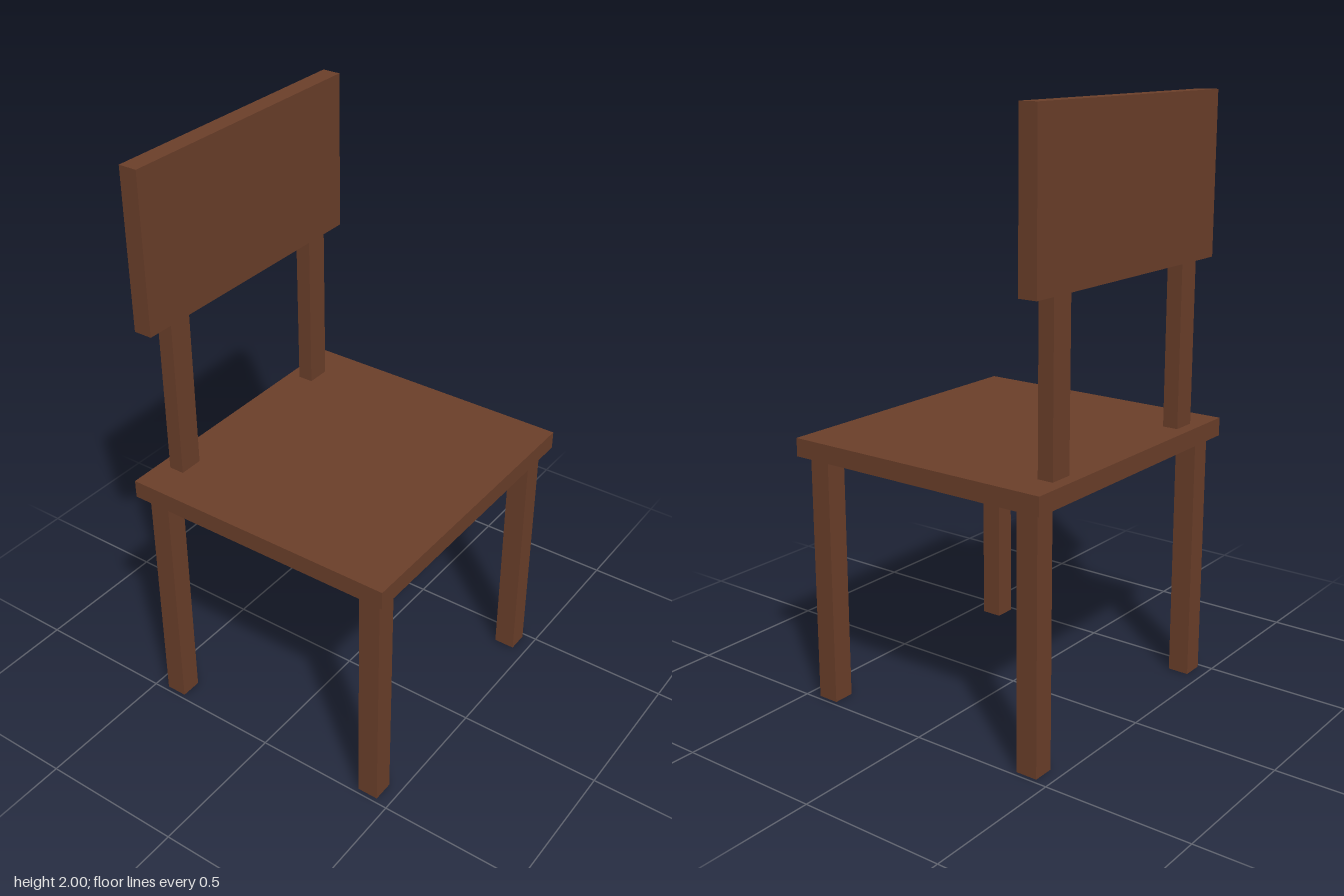
import * as THREE from 'three';

export function createModel() {
  const chair = new THREE.Group();
  chair.name = 'chair';
  const wood = new THREE.MeshStandardMaterial({ color: 0x6b3f2a });

  // Box of the given size, standing on height y
  const board = (name, w, h, d, x, y, z) => {
    const mesh = new THREE.Mesh(new THREE.BoxGeometry(w, h, d), wood);
    mesh.name = name;
    mesh.position.set(x, y + h / 2, z);
    chair.add(mesh);
  };

  const seatBottom = 0.852, seatTop = 0.914, panelBottom = 1.463;

  board('seat', 1.034, seatTop - seatBottom, 0.966, 0, seatBottom, 0);
  board('backrestPanel', 0.972, 2 - panelBottom, 0.064, 0, panelBottom, -0.417);

  // Legs and backrest posts, mirrored left and right
  for (const [side, s] of [['left', 1], ['right', -1]]) {
    board(`${side}FrontLeg`, 0.074, seatBottom, 0.074, s * 0.447, 0, 0.416);
    board(`${side}BackLeg`, 0.074, seatBottom, 0.074, s * 0.447, 0, -0.416);
    board(`${side}BackrestPost`, 0.084, panelBottom - seatTop, 0.054, s * 0.351, seatTop, -0.414);
  }

  return chair;
}
